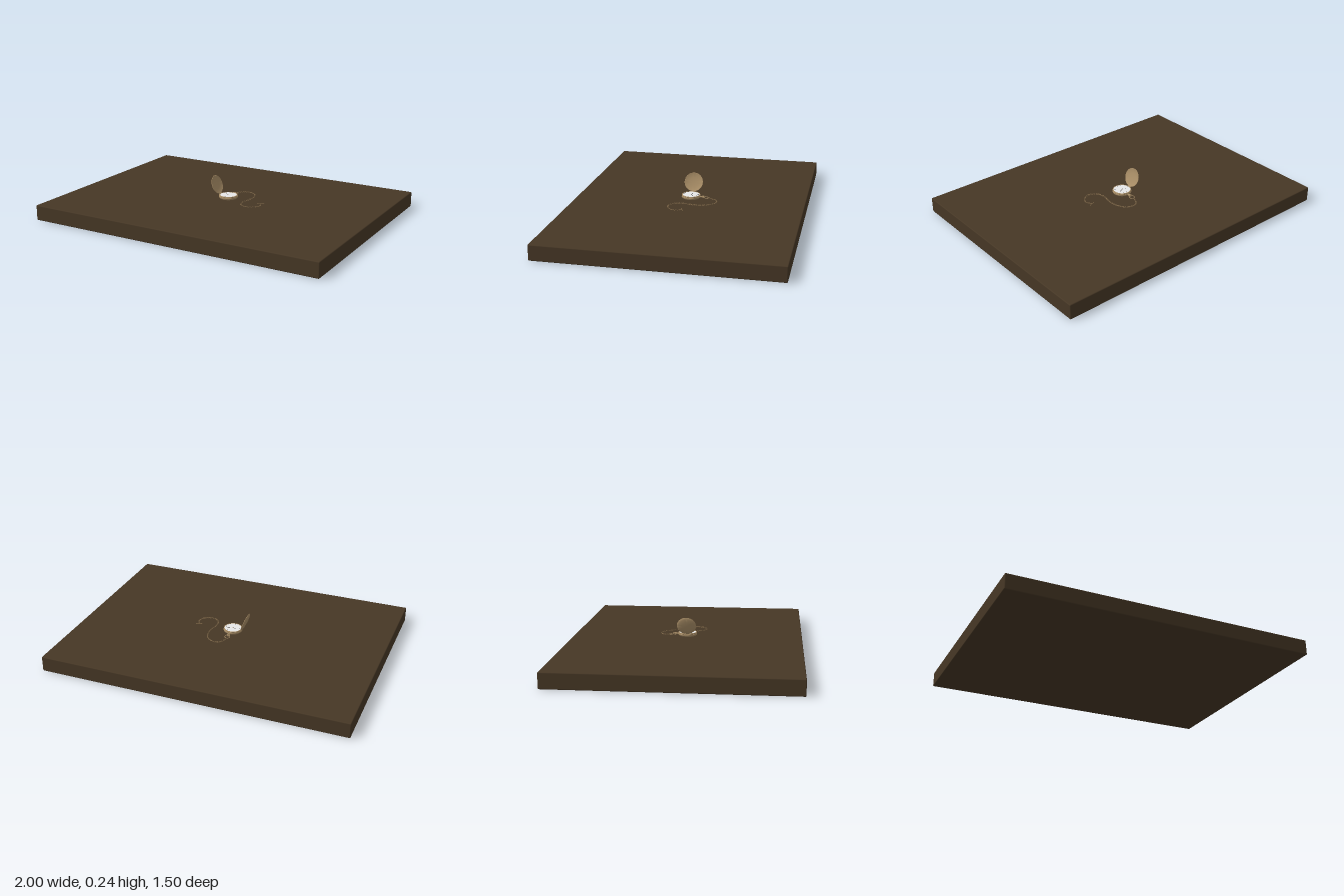
import * as THREE from 'three';
import { RoundedBoxGeometry } from 'three/addons/geometries/RoundedBoxGeometry.js';
import { toCreasedNormals } from 'three/addons/utils/BufferGeometryUtils.js';

const material = (name, color) => {
  const m = new THREE.MeshStandardMaterial({ color });
  m.name = name;
  return m;
};

export function createModel() {
  const model = new THREE.Group();
  model.name = 'pocketWatchOnTable';

  const wood = material('dark wood', 0x463725);
  const gold = material('antique gold', 0xa88d66);
  const bronze = material('chain bronze', 0x7d6647);
  const white = material('dial white', 0xececec);
  const black = material('hand black', 0x1c1a18);

  const add = (parent, name, geometry, mat, x = 0, y = 0, z = 0) => {
    const mesh = new THREE.Mesh(geometry, mat);
    mesh.name = name;
    mesh.position.set(x, y, z);
    parent.add(mesh);
    return mesh;
  };
  const lathe = (points, segments = 64) => toCreasedNormals(
    new THREE.LatheGeometry(points.map(([r, y]) => new THREE.Vector2(r, y)), segments), 0.6);

  // Table slab with softened edges
  add(model, 'tableTop', new RoundedBoxGeometry(2, 0.1, 1.5, 3, 0.006), wood, 0, 0.05, 0);

  // Watch case: rounded back, waist and raised bezel
  const watch = new THREE.Group();
  watch.name = 'watch';
  watch.position.y = 0.1;
  model.add(watch);
  add(watch, 'case', lathe([
    [0, 0], [0.045, 0.001], [0.055, 0.004], [0.061, 0.009], [0.0625, 0.014],
    [0.0615, 0.019], [0.0595, 0.02], [0.0615, 0.022], [0.061, 0.026],
    [0.058, 0.028], [0.0555, 0.027], [0.055, 0.024], [0, 0.024],
  ]), gold);

  // Dial with hour marks and hands
  add(watch, 'dial', new THREE.CylinderGeometry(0.055, 0.055, 0.002, 64), white, 0, 0.025, 0);
  for (let i = 0; i < 12; i++) {
    const a = i * Math.PI / 6;
    const mark = add(watch, 'hourMark', new THREE.BoxGeometry(0.0012, 0.0006, i % 3 ? 0.005 : 0.008),
      black, 0.047 * Math.sin(a), 0.0262, -0.047 * Math.cos(a));
    mark.rotation.y = -a;
  }
  const hand = (name, length, width, angle, y) => {
    const mesh = add(watch, name, new THREE.BoxGeometry(width, 0.0006, length).translate(0, 0, -length * 0.4),
      black, 0, y, 0);
    mesh.rotation.y = -angle;
  };
  hand('hourHand', 0.028, 0.002, -1.05, 0.0265);
  hand('minuteHand', 0.042, 0.0014, 1.05, 0.0271);
  add(watch, 'handPin', new THREE.CylinderGeometry(0.0022, 0.0022, 0.002, 16), gold, 0, 0.0272, 0);

  // Open lid, a shallow shell turned back about the hinge
  const hinge = new THREE.Group();
  hinge.name = 'lidHinge';
  hinge.position.set(-0.0635, 0.025, 0);
  hinge.rotation.z = 1.935;
  watch.add(hinge);
  add(hinge, 'lid', lathe([
    [0, 0.006], [0.03, 0.005], [0.05, 0.002], [0.058, -0.001], [0.061, -0.002],
    [0.0625, 0], [0.059, 0.003], [0.05, 0.006], [0.03, 0.0085], [0, 0.0095],
  ]), gold, 0.0635, 0, 0);
  const pin = add(hinge, 'hingePin', new THREE.CylinderGeometry(0.003, 0.003, 0.024, 16), gold);
  pin.rotation.x = Math.PI / 2;

  // Stem, ribbed crown and bow behind the case
  const stem = add(watch, 'stem', new THREE.CylinderGeometry(0.0045, 0.0055, 0.02, 20), gold, 0, 0.014, -0.068);
  stem.rotation.x = -Math.PI / 2;
  const crown = new THREE.Group();
  crown.name = 'crown';
  crown.position.set(0, 0.014, -0.082);
  crown.rotation.x = -Math.PI / 2;
  watch.add(crown);
  add(crown, 'crownCore', new THREE.CylinderGeometry(0.0075, 0.0085, 0.013, 20), gold);
  for (let i = 0; i < 16; i++) {
    const a = i * Math.PI / 8;
    add(crown, 'crownRib', new THREE.CylinderGeometry(0.001, 0.001, 0.011, 6), gold,
      0.008 * Math.cos(a), 0, 0.008 * Math.sin(a));
  }
  const bow = add(watch, 'bow', new THREE.TorusGeometry(0.0165, 0.002, 8, 32), gold, 0, 0.011, -0.101);
  bow.rotation.x = Math.PI / 2 - 0.2;

  // Chain lying in an S-curve on the table
  const path = new THREE.CatmullRomCurve3([
    [0, 0.109, -0.118], [0.008, 0.105, -0.148], [0.03, 0.1045, -0.174], [0.065, 0.1045, -0.181],
    [0.11, 0.1045, -0.157], [0.138, 0.1045, -0.1], [0.139, 0.1045, -0.03], [0.126, 0.1045, 0.03],
    [0.143, 0.1045, 0.088], [0.19, 0.1045, 0.112], [0.24, 0.1045, 0.093], [0.262, 0.1045, 0.05],
    [0.248, 0.1045, 0.014],
  ].map(p => new THREE.Vector3(...p)));
  const chain = new THREE.Group();
  chain.name = 'chain';
  model.add(chain);
  const linkShape = new THREE.TorusGeometry(0.0036, 0.0011, 6, 14).scale(1.6, 1, 1);
  const count = Math.round(path.getLength() / 0.0085);
  const xAxis = new THREE.Vector3(1, 0, 0);
  for (let i = 0; i <= count; i++) {
    const link = add(chain, 'chainLink', linkShape, bronze);
    link.position.copy(path.getPointAt(i / count));
    link.quaternion.setFromUnitVectors(xAxis, path.getTangentAt(i / count));
    link.rotateX(i % 2 ? 0.3 : Math.PI / 2 - 0.15);
  }

  // T-bar at the free end
  const bar = new THREE.Group();
  bar.name = 'tBar';
  bar.position.set(0.247, 0.104, 0.007);
  bar.rotation.y = 0.35;
  model.add(bar);
  const rod = add(bar, 'barRod', new THREE.CylinderGeometry(0.0022, 0.0022, 0.038, 12), bronze);
  rod.rotation.z = Math.PI / 2;
  for (const side of [-1, 1]) add(bar, 'barTip', new THREE.SphereGeometry(0.0035, 12, 8), bronze, side * 0.019, 0, 0);

  return model;
}
